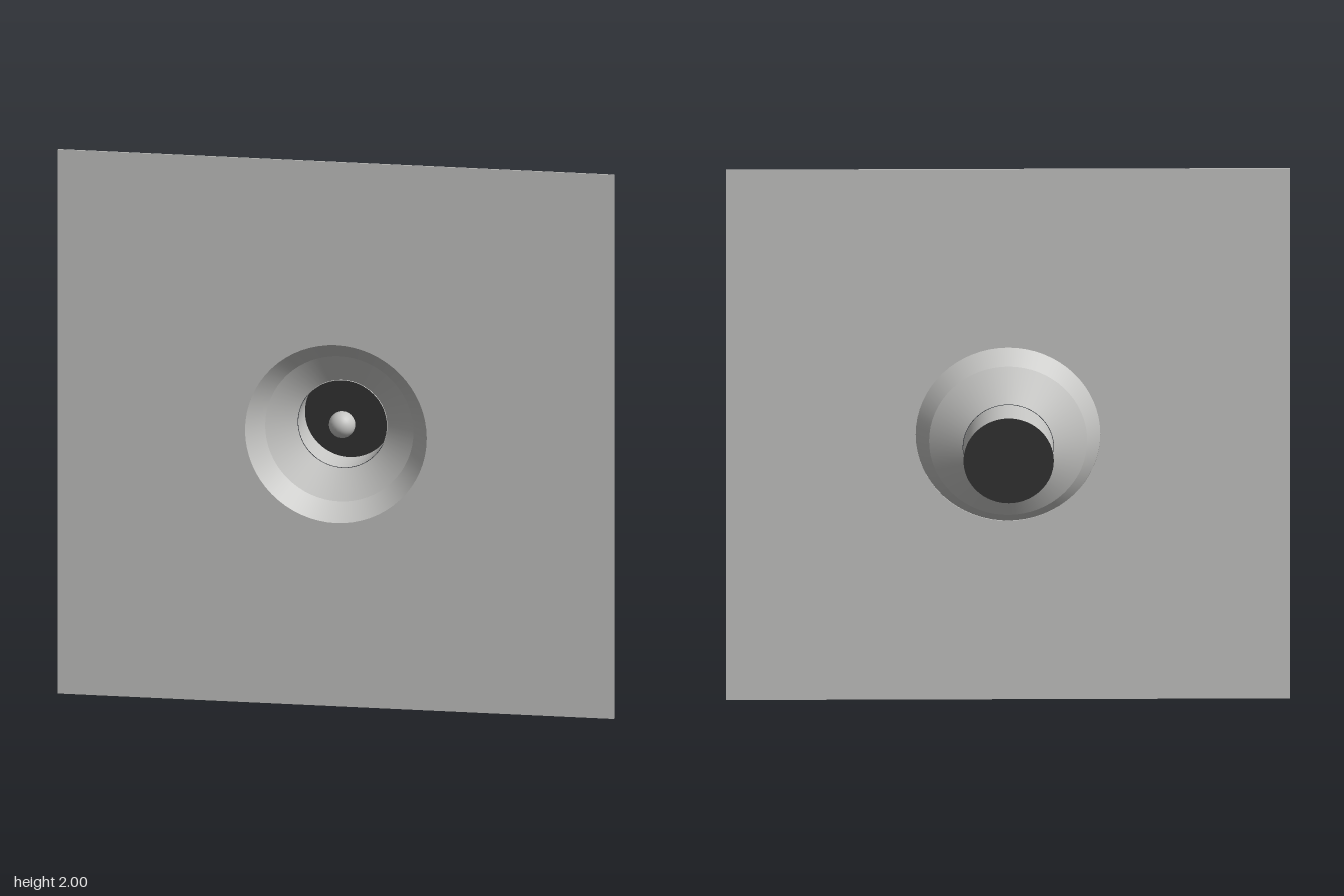
import * as THREE from 'three';

export function createModel() {
  const model = new THREE.Group();
  const silver = new THREE.MeshStandardMaterial({ name: 'light grey', color: 0xc6c6c4, side: THREE.DoubleSide });
  const dark = new THREE.MeshStandardMaterial({ name: 'dark grey', color: 0x333333, side: THREE.DoubleSide });

  const add = (name, geometry, material) => {
    const mesh = new THREE.Mesh(geometry, material);
    mesh.name = name;
    model.add(mesh);
    return mesh;
  };

  // Open round wall along z, from its front radius to its back radius
  const ring = (name, frontR, backR, frontZ, backZ) => {
    const g = new THREE.CylinderGeometry(frontR, backR, frontZ - backZ, 64, 1, true);
    g.rotateX(Math.PI / 2).translate(0, 1, (frontZ + backZ) / 2);
    return add(name, g, silver);
  };

  // Square front panel with a round opening
  const panel = new THREE.Shape([
    new THREE.Vector2(-1, 0), new THREE.Vector2(1, 0),
    new THREE.Vector2(1, 2), new THREE.Vector2(-1, 2),
  ]);
  panel.holes.push(new THREE.Path().absarc(0, 1, 0.327, 0, Math.PI * 2, true));
  const panelGeometry = new THREE.ExtrudeGeometry(panel, { depth: 0.005, bevelEnabled: false, curveSegments: 32 });
  add('frontPanel', panelGeometry.translate(0, 0, 0.135), silver);

  // Stepped funnel and the can behind it
  ring('outerFunnel', 0.327, 0.267, 0.139, 0.068);
  ring('innerFunnel', 0.28, 0.162, 0.068, 0);
  ring('canWall', 0.16, 0.16, 0, -0.139);

  // Dark back disc closing the can
  add('backDisc', new THREE.CircleGeometry(0.16, 64).translate(0, 1, -0.139), dark);

  // Small ball in the mouth of the can
  const ball = new THREE.SphereGeometry(0.048, 24, 16).rotateX(Math.PI / 2);
  add('centreBall', ball.translate(0, 1, 0.01), silver);

  return model;
}
